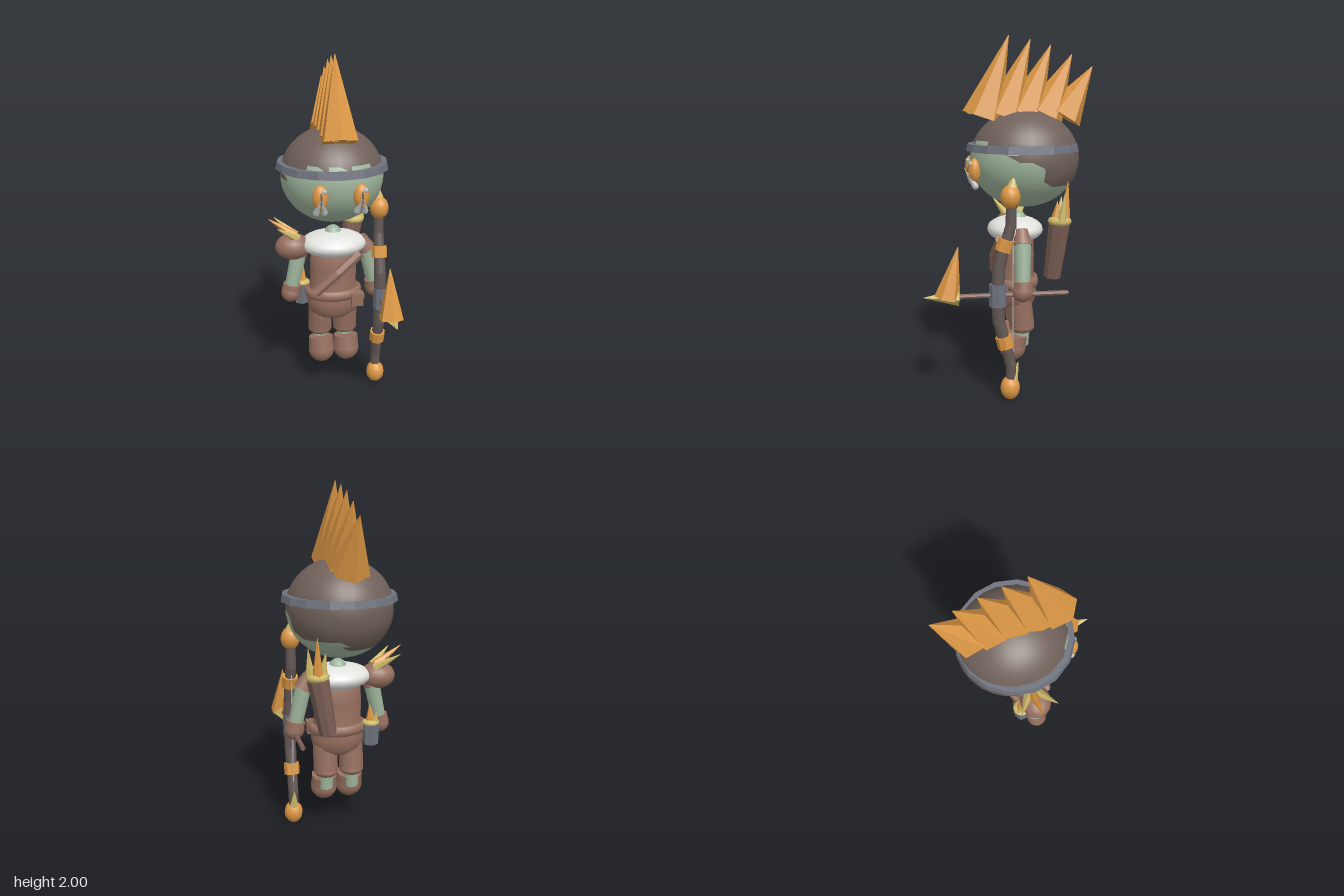
import * as THREE from 'three';

const mat = (name, color) => {
  const m = new THREE.MeshStandardMaterial({ color });
  m.name = name;
  return m;
};

export function createModel() {
  const root = new THREE.Group();
  const skin = mat('skin', 0x9fb59c), hair = mat('hair', 0x70615a), leather = mat('leather', 0x966f5f);
  const orange = mat('orange', 0xdd9845), cream = mat('cream', 0xd0bc6c), fur = mat('fur', 0xe2e2df);
  const metal = mat('metal', 0x70747f), wood = mat('wood', 0x645955), bark = mat('bark', 0x7f6157);
  const silver = mat('silver', 0xbcbcbe);
  const V = (p) => new THREE.Vector3(...p);
  const CX = 0.025; // body centre line

  const add = (name, geo, m, pos = [0, 0, 0], flat = false) => {
    let g = geo;
    if (flat) {
      g = geo.toNonIndexed();
      g.computeVertexNormals();
    }
    const mesh = new THREE.Mesh(g, m);
    mesh.name = name;
    mesh.position.set(...pos);
    root.add(mesh);
    return mesh;
  };
  const ball = (name, m, pos, r, w = 16, h = 12) => {
    const g = new THREE.SphereGeometry(1, w, h);
    g.scale(...r);
    return add(name, g, m, pos);
  };
  // Tapered rod between two points
  const rod = (name, m, a, b, ra, rb, sides = 12, flat = false) => {
    const d = V(b).sub(V(a));
    const mesh = add(name, new THREE.CylinderGeometry(rb, ra, d.length(), sides), m, [0, 0, 0], flat);
    mesh.position.copy(V(a)).addScaledVector(d, 0.5);
    mesh.quaternion.setFromUnitVectors(new THREE.Vector3(0, 1, 0), d.normalize());
    return mesh;
  };
  const spike = (name, m, a, b, r, sides = 6) => rod(name, m, a, b, r, 0.002, sides, true);
  const lathe = (name, m, pts, pos, sz, segs = 20, flat = false) => {
    const g = new THREE.LatheGeometry(pts.map((p) => new THREE.Vector2(...p)), segs);
    const mesh = add(name, g, m, pos, flat);
    mesh.scale.z = sz;
    return mesh;
  };

  // Head: one ellipsoid divided along the hairline
  const headGeo = new THREE.SphereGeometry(1, 28, 24);
  headGeo.scale(0.297, 0.275, 0.308);
  headGeo.translate(CX, 1.326, -0.1);
  const src = headGeo.toNonIndexed();
  const hairline = (x, z) => {
    if (z > 0.1) return 1.42 + 0.02 * Math.cos((x - CX) * 50);
    if (z > 0.0) return 1.385;
    if (z > -0.12) return 1.33;
    if (z > -0.2) return 1.33 + (z + 0.12) * 1.7;
    return x > 0.05 ? 1.18 : 1.14;
  };
  const parts = [{ p: [], n: [] }, { p: [], n: [] }];
  const P = src.attributes.position, N = src.attributes.normal;
  for (let i = 0; i < P.count; i += 3) {
    const c = [0, 1, 2].map((a) => (P.getComponent(i, a) + P.getComponent(i + 1, a) + P.getComponent(i + 2, a)) / 3);
    const part = parts[c[1] > hairline(c[0], c[2]) ? 1 : 0];
    for (let k = i; k < i + 3; k++) {
      part.p.push(P.getX(k), P.getY(k), P.getZ(k));
      part.n.push(N.getX(k), N.getY(k), N.getZ(k));
    }
  }
  parts.forEach(({ p, n }, i) => {
    const g = new THREE.BufferGeometry();
    g.setAttribute('position', new THREE.Float32BufferAttribute(p, 3));
    g.setAttribute('normal', new THREE.Float32BufferAttribute(n, 3));
    add(i ? 'hairCap' : 'face', g, i ? hair : skin);
  });

  // Headband, with only its corners showing through the hair at the back
  lathe('headband', metal, [[0.285, -0.02], [0.324, -0.02], [0.316, 0.02], [0.285, 0.02]], [CX, 1.39, -0.089], 0.985, 16, true);

  // Crest of five leaning spikes, sunk into the hair
  const crest = [
    [0.138, 1.555, -0.01, 2.0], [0.022, 1.56, -0.13, 1.98], [-0.095, 1.57, -0.245, 1.95],
    [-0.21, 1.57, -0.365, 1.9], [-0.318, 1.56, -0.483, 1.835],
  ];
  for (const [z, y, tz, ty] of crest) {
    spike('crestSpike', orange, [CX, y, z], [CX, ty, tz], 0.115).scale.x = 0.92;
  }
  for (const s of [-1, 1]) {
    spike('crestBarb', cream, [CX + s * 0.036, 1.575, 0.212], [CX + s * 0.03, 1.67, 0.175], 0.012, 4);
  }

  // Eyes, with tusk pairs below
  for (const s of [-1, 1]) {
    const x = CX + s * 0.112;
    ball('eye', orange, [x, 1.27, 0.193], [0.044, 0.068, 0.036]);
    ball('pupil', hair, [x, 1.27, 0.226], [0.007, 0.035, 0.004], 8, 6);
    ball('eyeGlint', silver, [x + 0.018, 1.308, 0.215], [0.016, 0.016, 0.012], 8, 6);
    for (const t of [-1, 1]) {
      spike('tusk', silver, [x + t * 0.022, 1.185, 0.19], [x + t * 0.004, 1.262, 0.232], 0.019, 8);
      ball('tuskRoot', silver, [x + t * 0.022, 1.186, 0.19], [0.019, 0.019, 0.019], 8, 6);
    }
  }

  // Neck, collar and torso
  ball('neck', skin, [CX, 0.975, -0.06], [0.052, 0.053, 0.052]);
  ball('furCollar', fur, [CX, 0.922, -0.047], [0.195, 0.075, 0.16], 20, 12);
  lathe('tunic', leather, [[0, 0.46], [0.1, 0.465], [0.145, 0.5], [0.158, 0.56], [0.152, 0.62], [0.138, 0.68],
    [0.14, 0.78], [0.135, 0.86], [0.1, 0.92], [0, 0.95]], [CX, 0, -0.05], 0.76);
  lathe('belt', leather, [[0.14, 0.585], [0.168, 0.595], [0.174, 0.62], [0.166, 0.645], [0.13, 0.65]], [CX, 0, -0.05], 0.76);
  add('beltPouch', new THREE.BoxGeometry(0.07, 0.075, 0.05), leather, [0.152, 0.59, 0.045]);
  add('beltPouchFlap', new THREE.BoxGeometry(0.078, 0.03, 0.058), leather, [0.152, 0.617, 0.045]);

  // Chest strap
  rod('strapLower', leather, [-0.095, 0.655, 0.06], [0.04, 0.78, 0.072], 0.029, 0.029, 6, true);
  rod('strapUpper', leather, [0.03, 0.77, 0.075], [0.165, 0.885, 0.055], 0.029, 0.029, 6, true);

  // Legs
  for (const s of [-1, 1]) {
    const x = CX + s * 0.077;
    rod('trouserLeg', leather, [x, 0.36, -0.078], [x, 0.52, -0.06], 0.073, 0.073);
    ball('trouserHem', leather, [x, 0.36, -0.078], [0.073, 0.04, 0.073]);
    rod('calf', skin, [x, 0.25, -0.075], [x, 0.36, -0.08], 0.042, 0.045);
    rod('bootShaft', leather, [x, 0.237, -0.023], [x, 0.316, -0.037], 0.079, 0.075);
    ball('boot', leather, [x, 0.237, -0.023], [0.079, 0.078, 0.078]);
  }

  // Arms
  for (const s of [-1, 1]) {
    const at = (d, y, z) => [CX + s * d, y, z];
    rod('sleeve', leather, at(0.205, 0.865, -0.06), at(0.165, 0.945, -0.06), 0.055, 0.035);
    rod('arm', skin, at(0.25, 0.65, -0.055), at(0.2, 0.88, -0.06), 0.042, 0.048);
    rod('gloveCuff', leather, at(0.254, 0.625, -0.055), at(0.246, 0.672, -0.055), 0.058, 0.054);
    ball('glove', leather, at(0.256, 0.618, -0.052), [0.057, 0.057, 0.058]);
  }

  // Padded shoulder with three spikes
  ball('shoulderPad', leather, [-0.213, 0.91, -0.055], [0.104, 0.077, 0.09]);
  spike('shoulderSpike', orange, [-0.2, 0.975, -0.06], [-0.35, 1.082, -0.06], 0.03);
  for (const z of [-0.17, 0.045]) {
    spike('shoulderSpike', cream, [-0.19, 0.965, -0.06 + (z + 0.06) * 0.3], [-0.31, 1.055, z], 0.028);
  }

  // Quiver with tips
  rod('quiver', bark, [0.13, 0.66, -0.247], [0.19, 0.98, -0.273], 0.05, 0.061, 8, true);
  ball('quiverRim', cream, [0.192, 0.99, -0.273], [0.068, 0.032, 0.068], 10, 6);
  spike('quiverTip', orange, [0.195, 0.99, -0.3], [0.2, 1.21, -0.315], 0.033);
  spike('quiverTip', cream, [0.165, 0.99, -0.275], [0.15, 1.12, -0.29], 0.03);
  spike('quiverTip', cream, [0.23, 0.99, -0.275], [0.245, 1.15, -0.29], 0.03);
  spike('quiverTip', orange, [0.19, 0.99, -0.25], [0.19, 1.1, -0.26], 0.03);

  // Hip flask with tips
  rod('hipFlask', metal, [-0.155, 0.52, -0.125], [-0.155, 0.645, -0.125], 0.045, 0.05, 6, true);
  ball('hipFlaskRim', cream, [-0.155, 0.65, -0.125], [0.052, 0.02, 0.052], 10, 6);
  spike('hipFlaskTip', orange, [-0.155, 0.65, -0.125], [-0.145, 0.76, -0.13], 0.033);
  spike('hipFlaskTip', cream, [-0.175, 0.65, -0.14], [-0.18, 0.72, -0.15], 0.02);

  // Bow limbs
  const BX = 0.282;
  const bow = [[0.1, 0.01], [0.2, 0.01], [0.33, 0.043], [0.45, 0.078], [0.6, 0.085], [0.76, 0.078], [0.88, 0.045], [0.98, 0.012], [1.1, 0.01]];
  for (let i = 0; i < bow.length - 1; i++) {
    const [y0, z0] = bow[i], [y1, z1] = bow[i + 1];
    const r = (y) => 0.037 - 0.018 * Math.abs(y - 0.6);
    rod('bowLimb', wood, [BX, y0 - 0.008, z0], [BX, y1 + 0.008, z1], r(y0), r(y1), 10);
  }
  add('bowGrip', new THREE.CylinderGeometry(0.048, 0.048, 0.125, 8), metal, [BX, 0.605, 0.083], true).scale.x = 0.82;
  rod('bowClamp', orange, [BX, 0.305, 0.038], [BX, 0.37, 0.054], 0.046, 0.046, 8, true);
  rod('bowClamp', orange, [BX, 0.85, 0.055], [BX, 0.915, 0.035], 0.046, 0.046, 8, true);
  ball('bowKnobLower', orange, [BX, 0.067, 0.015], [0.055, 0.067, 0.055], 12, 10);
  ball('bowKnobUpper', orange, [BX, 1.142, 0.015], [0.055, 0.065, 0.055], 12, 10);
  spike('bowTip', cream, [BX, 0.11, 0.0], [BX, 0.215, -0.03], 0.03);
  spike('bowTip', cream, [BX, 1.17, 0.01], [BX, 1.26, -0.005], 0.04);
  rod('bowString', silver, [BX, 0.12, 0.0], [BX, 1.1, 0.0], 0.004, 0.004, 5);

  // Nocked arrow
  rod('arrowShaft', bark, [BX, 0.605, -0.305], [BX, 0.605, 0.33], 0.014, 0.014, 8, true);
  spike('arrowBlade', orange, [BX, 0.6, 0.357], [BX, 0.88, 0.297], 0.071);
  spike('arrowPoint', cream, [BX, 0.6, 0.295], [BX, 0.605, 0.485], 0.048, 4).scale.x = 1.15;
  for (const s of [-1, 1]) {
    spike('arrowBarb', cream, [BX + s * 0.024, 0.605, 0.402], [BX + s * 0.02, 0.67, 0.385], 0.009, 4);
  }

  return root;
}
